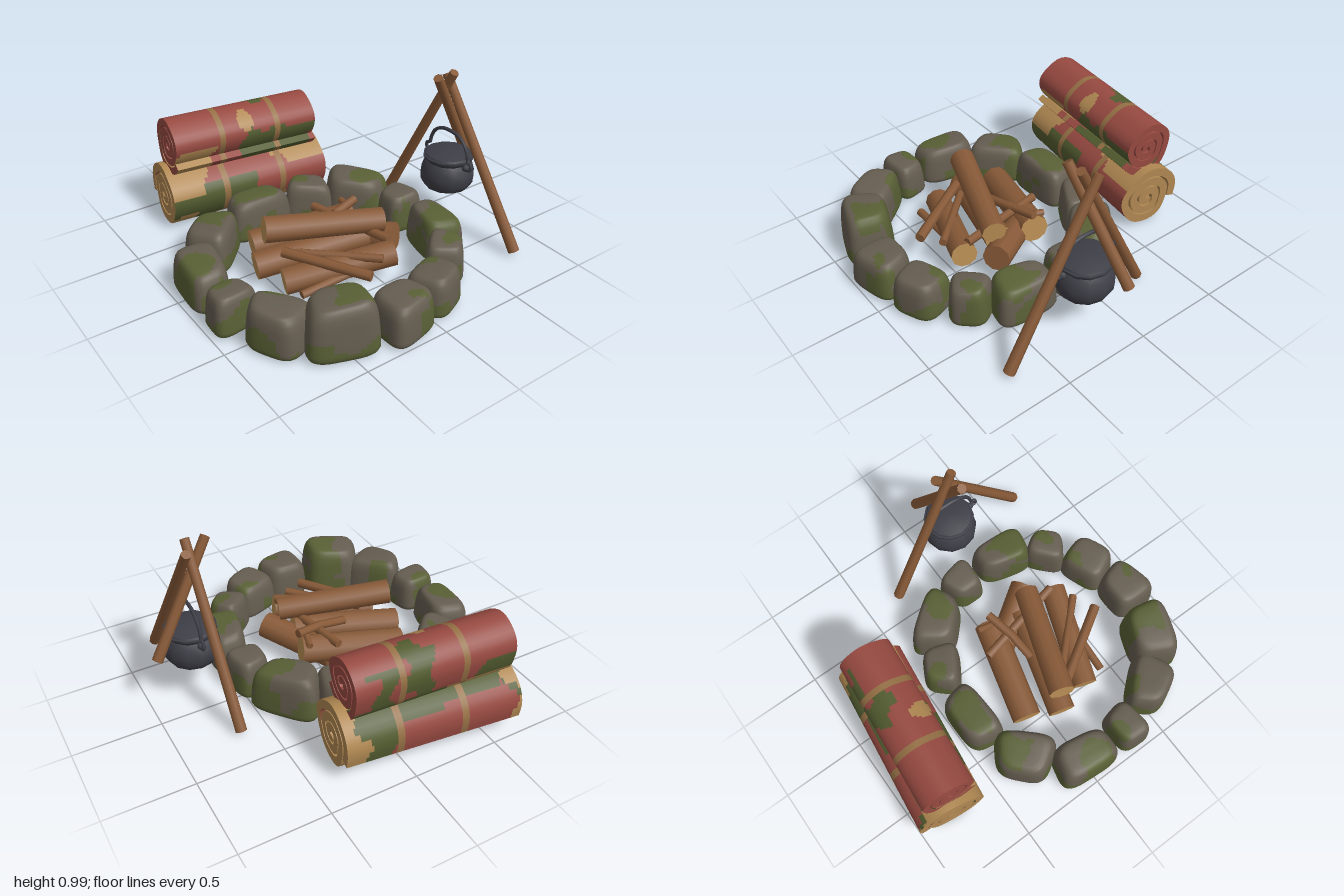
import * as THREE from 'three';
import { toCreasedNormals } from 'three/addons/utils/BufferGeometryUtils.js';

const mat = (name, color) => {
  const m = new THREE.MeshStandardMaterial({ color });
  m.name = name;
  return m;
};
const V = (x, y, z) => new THREE.Vector3(x, y, z);

function seeded(seed) {
  return () => (seed = (seed * 16807) % 2147483647) / 2147483647;
}

// Sort the quads (six corners each) into material groups, chosen by their centre
function paint(geo, count, choose) {
  const pos = geo.attributes.position, nor = geo.attributes.normal;
  const P = Array.from({ length: count }, () => []), N = P.map(() => []);
  for (let i = 0; i < pos.count; i += 6) {
    let x = 0, y = 0, z = 0;
    for (let k = i; k < i + 6; k++) { x += pos.getX(k) / 6; y += pos.getY(k) / 6; z += pos.getZ(k) / 6; }
    const g = choose(x, y, z);
    for (let k = i; k < i + 6; k++) {
      P[g].push(pos.getX(k), pos.getY(k), pos.getZ(k));
      N[g].push(nor.getX(k), nor.getY(k), nor.getZ(k));
    }
  }
  const out = new THREE.BufferGeometry();
  out.setAttribute('position', new THREE.Float32BufferAttribute(P.flat(), 3));
  out.setAttribute('normal', new THREE.Float32BufferAttribute(N.flat(), 3));
  let start = 0;
  P.forEach((p, g) => { out.addGroup(start, p.length / 3, g); start += p.length / 3; });
  return out;
}

// A rounded block from stacked superellipse rings
function stoneGeometry([cx, cz, len, wid, deg, h], rnd) {
  const n = 48, rot = deg * Math.PI / 180;
  const k1 = (rnd() - 0.5) * 0.34, k2 = (rnd() - 0.5) * 0.3;
  const tx = (rnd() - 0.5) * 0.2, tz = (rnd() - 0.5) * 0.2;
  const levels = [[0, 0], [0, 0.5], [0, 0.92], [0.03, 0.97]];
  for (let f = 0.1; f < 0.75; f += 0.06) levels.push([f, 1.02 - 0.17 * f * f]);
  levels.push([0.82, 0.89], [0.9, 0.83], [0.96, 0.75], [0.98, 0.65], [0.99, 0.54], [0.995, 0.42],
    [1, 0.3], [1, 0.18], [1, 0]);
  const pts = [], idx = [];
  const soft = c => Math.sign(c) * Math.abs(c) ** 0.55;
  levels.forEach(([f, s], j) => {
    for (let i = 0; i < n; i++) {
      const t = i / n * Math.PI * 2, a = soft(Math.cos(t)), b = soft(Math.sin(t));
      const u = a * (1 + k1 * b) * s * len / 2, v = b * (1 + k2 * a) * s * wid / 2;
      const y = 0.02 + f * (h - 0.02) + (f > 0.5 ? (f - 0.5) * (u * tx + v * tz) * 2 : 0);
      pts.push(cx + u * Math.cos(rot) - v * Math.sin(rot), y, cz + u * Math.sin(rot) + v * Math.cos(rot));
      if (j) {
        const p = (j - 1) * n + i, q = (j - 1) * n + (i + 1) % n;
        idx.push(p, p + n, q, q, p + n, q + n);
      }
    }
  });
  const geo = new THREE.BufferGeometry();
  geo.setAttribute('position', new THREE.Float32BufferAttribute(pts, 3));
  geo.setIndex(idx);
  return toCreasedNormals(geo, 0.7);
}

// Cross-section of a rolled blanket: a thick spiral strip
function spiralShape(R, phase, turns) {
  const r0 = 0.03, n = turns * 36, th = (R - r0) / turns * 0.82, outer = [], inner = [];
  for (let i = 0; i <= n; i++) {
    const a = phase + i / n * turns * Math.PI * 2;
    const r = (r0 + (R - r0) * i / n) * (1 + 0.035 * Math.sin(3 * a + 1) + 0.02 * Math.sin(5 * a));
    outer.push(new THREE.Vector2(Math.cos(a) * r, Math.sin(a) * r));
    const ri = Math.max(r - th, 0.004);
    inner.push(new THREE.Vector2(Math.cos(a) * ri, Math.sin(a) * ri));
  }
  return new THREE.Shape([...outer, ...inner.reverse()]);
}

export function createModel() {
  const model = new THREE.Group();
  model.name = 'campfire';
  const stone = mat('stone', 0x655d50), moss = mat('moss', 0x596035), wood = mat('bark', 0x885a38);
  const cut = mat('cutWood', 0xb98e55), red = mat('redCloth', 0x974a41), tan = mat('tanCloth', 0xb08852);
  const green = mat('greenCloth', 0x535c30), strap = mat('strap', 0x957045), iron = mat('iron', 0x3e3e47);

  const add = (parent, name, geo, material) => {
    const m = new THREE.Mesh(geo, material);
    m.name = name;
    parent.add(m);
    return m;
  };
  const group = name => {
    const g = new THREE.Group();
    g.name = name;
    model.add(g);
    return g;
  };
  // Round stick between two points; the end material covers both caps
  const stick = (parent, end, name, a, b, r, sides = 7, r2 = r) => {
    const p = V(...a), q = V(...b), d = q.clone().sub(p);
    const m = add(parent, name, new THREE.CylinderGeometry(r2, r, d.length(), sides), [wood, end, end]);
    m.position.copy(p).add(q).multiplyScalar(0.5);
    m.quaternion.setFromUnitVectors(V(0, 1, 0), d.normalize());
  };

  // Stone ring: centre x, z, length, width, turn, height, then moss patch offset x, z and radius
  const ring = group('stoneRing'), rnd = seeded(77);
  [
    [-0.20, -0.32, 0.37, 0.25, -42, 0.28, 0.04, -0.08, 0.1], [0.06, -0.44, 0.22, 0.22, -8, 0.25, 0.08, 0.03, 0.05],
    [0.37, -0.45, 0.35, 0.23, 8, 0.26, 0.05, 0.02, 0.12], [0.62, -0.32, 0.23, 0.21, 45, 0.25, -0.02, -0.08, 0.07],
    [0.78, -0.10, 0.28, 0.25, 68, 0.24, -0.05, -0.05, 0.06], [0.85, 0.17, 0.29, 0.26, 82, 0.25, 0.08, -0.08, 0.05],
    [0.77, 0.50, 0.36, 0.28, 110, 0.32, -0.02, -0.08, 0.12], [0.58, 0.74, 0.33, 0.25, -35, 0.26, -0.1, -0.06, 0.07],
    [0.31, 0.85, 0.25, 0.20, 85, 0.24, -0.08, 0, 0.05], [0.01, 0.85, 0.37, 0.24, 7, 0.25, 0.03, 0.05, 0.1],
    [-0.27, 0.64, 0.34, 0.27, 45, 0.25, -0.05, -0.08, 0.11], [-0.38, 0.28, 0.38, 0.23, 88, 0.26, -0.02, 0, 0.11],
    [-0.35, -0.07, 0.27, 0.22, -60, 0.25, -0.08, 0.05, 0.05],
  ].forEach(s => {
    const [cx, cz, , , , , mx, mz, mr] = s;
    const geo = paint(stoneGeometry(s, rnd), 2, (x, y, z) => {
      const w = 0.025 * Math.sin(31 * x + 13 * y) + 0.025 * Math.sin(27 * z + 20 * y + 1);
      const patch = Math.hypot(x - cx - mx, z - cz - mz) + w < mr;
      const low = y > 0.025 && y < 0.12 + 1.6 * w && Math.sin(14 * x + 2.2) + Math.sin(15 * z + 1) > -0.5;
      return patch || low ? 1 : 0;
    });
    add(ring, 'ringStone', geo, [stone, moss]);
  });

  // Firewood
  const fire = group('firewood');
  [
    ['topLog', [0.09, 0.335, 0.51], [0.31, 0.285, -0.12], 0.075, 10, 0.07],
    ['leftLog', [-0.12, 0.11, 0.47], [0.03, 0.17, -0.12], 0.085, 10],
    ['middleLog', [0.07, 0.11, 0.56], [0.24, 0.17, -0.06], 0.08, 10],
    ['rightLog', [0.28, 0.11, 0.51], [0.48, 0.18, -0.07], 0.075, 10],
  ].forEach(s => stick(fire, cut, ...s));
  [
    ['backLog', [-0.03, 0.10, 0.06], [0.35, 0.17, -0.19], 0.08, 10],
    ['branch', [-0.10, 0.23, 0.06], [0.45, 0.25, -0.06], 0.026],
    ['branch', [0.18, 0.22, 0.45], [0.61, 0.20, 0.18], 0.03],
    ['branch', [0.42, 0.10, 0.49], [0.44, 0.13, 0.13], 0.024],
    ['branch', [0.20, 0.20, 0.38], [0.54, 0.22, 0.05], 0.024],
    ['branch', [-0.05, 0.24, -0.10], [0.03, 0.25, -0.08], 0.02],
    ['bentBranch', [0.04, 0.28, -0.13], [0.08, 0.26, 0.04], 0.026],
    ['bentBranch', [0.08, 0.26, 0.02], [0.10, 0.22, 0.21], 0.026],
  ].forEach(s => stick(fire, wood, ...s));

  // Tripod
  const tripod = group('tripod');
  stick(tripod, wood, 'leftLeg', [0.71, 0.03, -0.78], [0.12, 0.95, -0.72], 0.033, 8, 0.027);
  stick(tripod, wood, 'rightLeg', [-0.28, 0.03, -0.65], [0.21, 0.99, -0.69], 0.033, 8, 0.027);
  stick(tripod, wood, 'backLeg', [0.09, 0.37, -0.95], [0.20, 0.98, -0.58], 0.032, 8, 0.028);

  // Kettle with lid, bail handle and lugs
  const kettle = group('kettle');
  kettle.position.set(0.18, 0, -0.72);
  const lathe = pts => toCreasedNormals(new THREE.LatheGeometry(pts.map(p => new THREE.Vector2(...p)), 12), 0.7);
  add(kettle, 'pot', lathe([[0, 0.235], [0.1, 0.24], [0.135, 0.26], [0.158, 0.3], [0.162, 0.35],
    [0.147, 0.4], [0.13, 0.425], [0.15, 0.45], [0.15, 0.46], [0.13, 0.462]]), iron);
  add(kettle, 'lid', lathe([[0.142, 0.458], [0.135, 0.47], [0.08, 0.485], [0, 0.492]]), iron);
  const half = [[0.155, 0.42], [0.19, 0.425], [0.188, 0.46], [0.165, 0.47], [0.155, 0.51], [0.125, 0.565], [0.07, 0.6]];
  const bail = new THREE.CatmullRomCurve3([
    ...half.map(([x, y]) => V(-x, y, 0)), V(0, 0.61, 0), ...half.map(([x, y]) => V(x, y, 0)).reverse()]);
  add(kettle, 'handle', new THREE.TubeGeometry(bail, 48, 0.011, 6), iron);
  for (const s of [-1, 1]) {
    add(kettle, 'lug', new THREE.SphereGeometry(0.022, 8, 6), iron).position.set(s * 0.15, 0.425, 0);
  }

  // Blanket rolls: back end, front end, radius, flap angle, turns, plain colour, pattern
  const cloth = [red, tan, green, strap];
  const roll = (name, back, front, R, phase, turns, plain, pattern) => {
    const a = V(...back), b = V(...front), d = b.clone().sub(a), L = d.length();
    const g = group(name);
    g.position.copy(a).add(b).multiplyScalar(0.5);
    g.quaternion.setFromUnitVectors(V(0, 0, 1), d.normalize());
    const geo = new THREE.ExtrudeGeometry(spiralShape(R, phase, turns),
      { depth: L, steps: 76, bevelEnabled: false });
    geo.translate(0, 0, -L / 2);
    const painted = paint(toCreasedNormals(geo, 0.6), 4, (x, y, z) => {
      if (Math.abs(z) > L / 2 - 1e-3 || Math.hypot(x, y) < R * 0.62) return plain;
      if (Math.abs(z - 0.16) < 0.02 || Math.abs(z + 0.2) < 0.02) return 3;
      const t = Math.atan2(y, x), w = 0.03 * Math.sin(5 * t + 9 * z) + 0.02 * Math.sin(23 * z + 2 * t);
      return pattern(x / R, y / R, z + w, w);
    });
    add(g, 'blanket', painted, cloth);
    const core = add(g, 'rollCore', new THREE.CylinderGeometry(R * 0.66, R * 0.66, L - 0.05, 20), cloth[plain]);
    core.rotation.x = Math.PI / 2;
  };
  roll('lowerRoll', [-0.675, 0.178, -0.32], [-0.79, 0.178, 0.68], 0.218, 3.4, 3, 1, (x, y, z, w) => {
    if (y < -0.5 + 4 * w) return 1;
    if (x > 0) {
      if (z > 0.3) return y < 0.3 ? 2 : 1;
      if (z > -0.02) return y < 0.55 ? 2 : 0;
      return z > -0.2 || y < 0.5 ? 0 : 1;
    }
    if (z < -0.4 || z > 0.46) return 1;
    return z < -0.2 || y > 0.62 + 3 * w ? 2 : 0;
  });
  roll('upperRoll', [-0.69, 0.505, -0.27], [-0.765, 0.525, 0.64], 0.188, 5.7, 3, 0, (x, y, z, w) => {
    if (Math.hypot(z - w, (y - 0.5) * 0.17) < 0.045 && x > 0) return 1;
    if (x > 0.1) {
      if (z > 0.2 && y < -0.1 + 3 * w) return 1;
      if (z < 0.03 && z > -0.42 && y < 0.2 + 3 * w) return 2;
      return 0;
    }
    if (y < -0.5) return z > 0.1 ? 1 : 2;
    return (z > -0.16 && z < -0.04 && y < 0.92) || (z < -0.24 && z > -0.36 && y < 0.6) || (z > 0.26 && y < 0.1) ? 2 : 0;
  });
  return model;
}
